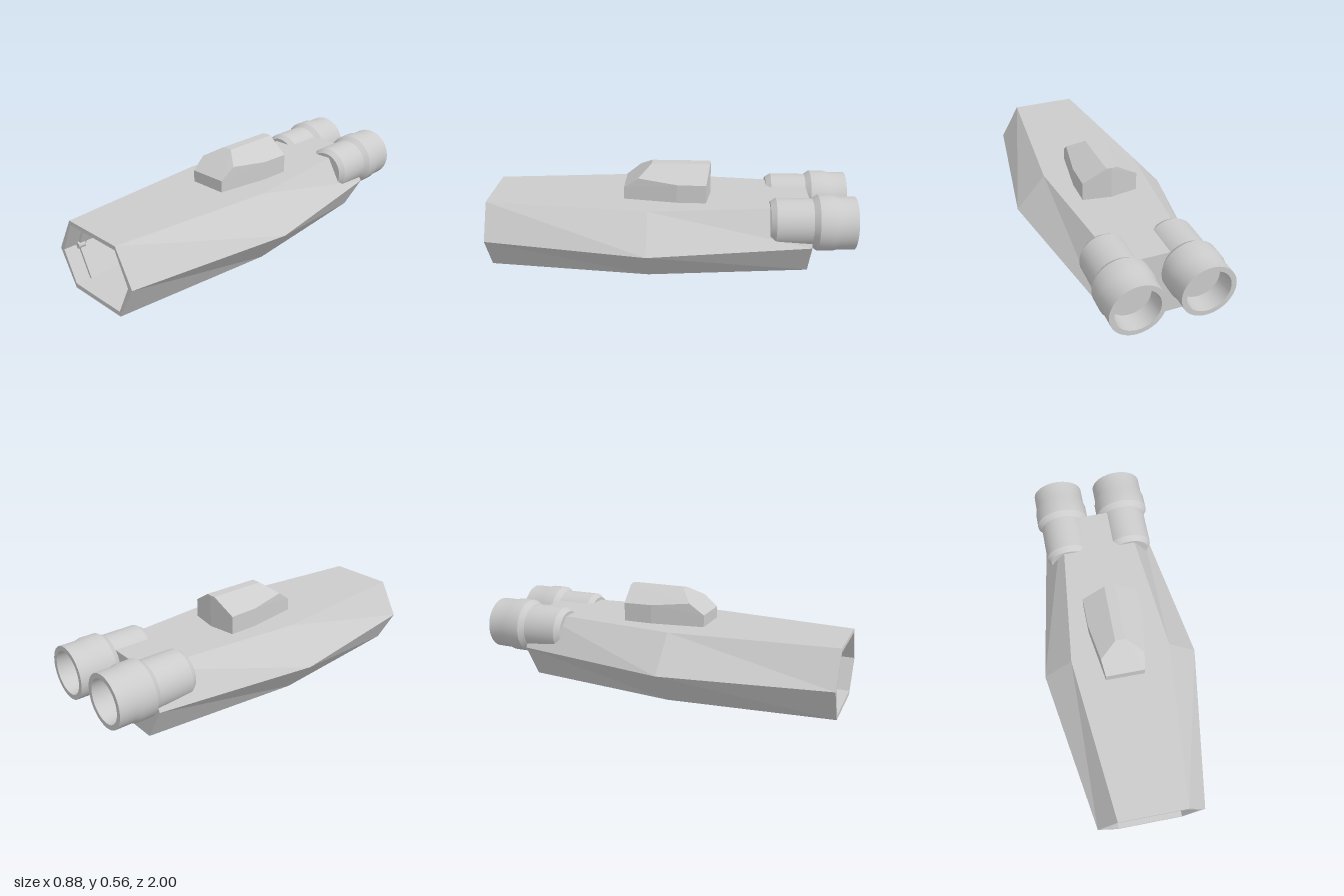
import * as THREE from 'three';
import { toCreasedNormals } from 'three/addons/utils/BufferGeometryUtils.js';
import { ConvexGeometry } from 'three/addons/geometries/ConvexGeometry.js';

const material = new THREE.MeshStandardMaterial({ color: 0xcccccc });

function part(name, geometry, parent) {
  const mesh = new THREE.Mesh(geometry, material);
  mesh.name = name;
  parent.add(mesh);
  return mesh;
}

// Six-sided cross-section, counterclockwise seen from the front
function hexRing(z, flatHalf, midHalf, y0 = 0, y1 = 0.38) {
  const m = 0.19;
  return [[flatHalf, y0], [midHalf, m], [flatHalf, y1], [-flatHalf, y1], [-midHalf, m], [-flatHalf, y0]]
    .map(([x, y]) => [x, y, z]);
}

// Joins consecutive rings with flat faces and caps both ends
function loft(rings) {
  const pos = [];
  const tri = (a, b, c) => pos.push(...a, ...b, ...c);
  const first = rings[0], last = rings[rings.length - 1], n = first.length;
  for (let r = 0; r < rings.length - 1; r++) {
    const a = rings[r], b = rings[r + 1];
    for (let i = 0; i < n; i++) {
      const j = (i + 1) % n;
      tri(a[i], a[j], b[j]);
      tri(a[i], b[j], b[i]);
    }
  }
  for (let i = 1; i < n - 1; i++) {
    tri(first[0], first[i + 1], first[i]);
    tri(last[0], last[i], last[i + 1]);
  }
  const g = new THREE.BufferGeometry();
  g.setAttribute('position', new THREE.Float32BufferAttribute(pos, 3));
  return toCreasedNormals(g, 0.12);
}

export function createModel() {
  const model = new THREE.Group();
  model.name = 'spacecraft';

  // Hull tapering to both ends, with a recessed bay in the nose
  part('hull', loft([
    hexRing(-0.77, 0.185, 0.295),
    hexRing(0.11, 0.275, 0.438),
    hexRing(1, 0.185, 0.293),
    hexRing(1, 0.18, 0.263, 0.025, 0.358),
    hexRing(0.65, 0.18, 0.263, 0.025, 0.358),
  ]), model);

  // Faceted cabin on the deck
  const cabin = [[0, 0.38, -0.225], [0, 0.56, -0.225]];
  for (const s of [-1, 1]) {
    cabin.push(
      [s * 0.107, 0.38, 0.25], [s * 0.107, 0.445, 0.25],
      [s * 0.118, 0.38, 0.17], [s * 0.118, 0.505, 0.17],
      [s * 0.152, 0.38, -0.04], [s * 0.152, 0.483, -0.04],
      [s * 0.154, 0.38, -0.2], [s * 0.154, 0.481, -0.2],
      [s * 0.028, 0.56, 0.1], [s * 0.028, 0.56, -0.22]);
  }
  part('cabin', new ConvexGeometry(cabin.map(p => new THREE.Vector3(...p))), model);

  // Engine profile: radius and z, from the inside of the nozzle to the front end
  const profile = [
    [0, -0.9], [0.11, -0.9], [0.116, -1], [0.143, -1], [0.143, -0.91], [0.151, -0.88],
    [0.151, -0.8], [0.13, -0.77], [0.13, -0.575], [0.11, -0.545], [0, -0.545],
  ].map(([r, z]) => new THREE.Vector2(r, z));
  const engine = toCreasedNormals(new THREE.LatheGeometry(profile, 48).rotateX(Math.PI / 2), 0.35);

  for (const s of [-1, 1]) {
    const side = s > 0 ? 'left' : 'right';
    part(side + 'Engine', engine, model).position.set(s * 0.18, 0.29, 0);

    // Ribs following the slanted bay walls
    const rib = new THREE.Shape([
      [0.18, 0.358], [0.263, 0.19], [0.18, 0.025], [0.165, 0.025], [0.247, 0.19], [0.165, 0.358],
    ].map(([x, y]) => new THREE.Vector2(s * x, y)));
    for (const z of [0.88, 0.65]) {
      part(side + 'BayRib', new THREE.ExtrudeGeometry(rib, { depth: 0.04, bevelEnabled: false }), model)
        .position.z = z;
    }

    // Small pin in the corner of the bay
    part(side + 'BayPin', new THREE.CylinderGeometry(0.018, 0.018, 0.04, 20).rotateX(Math.PI / 2), model)
      .position.set(s * 0.252, 0.19, 0.91);
  }
  return model;
}
